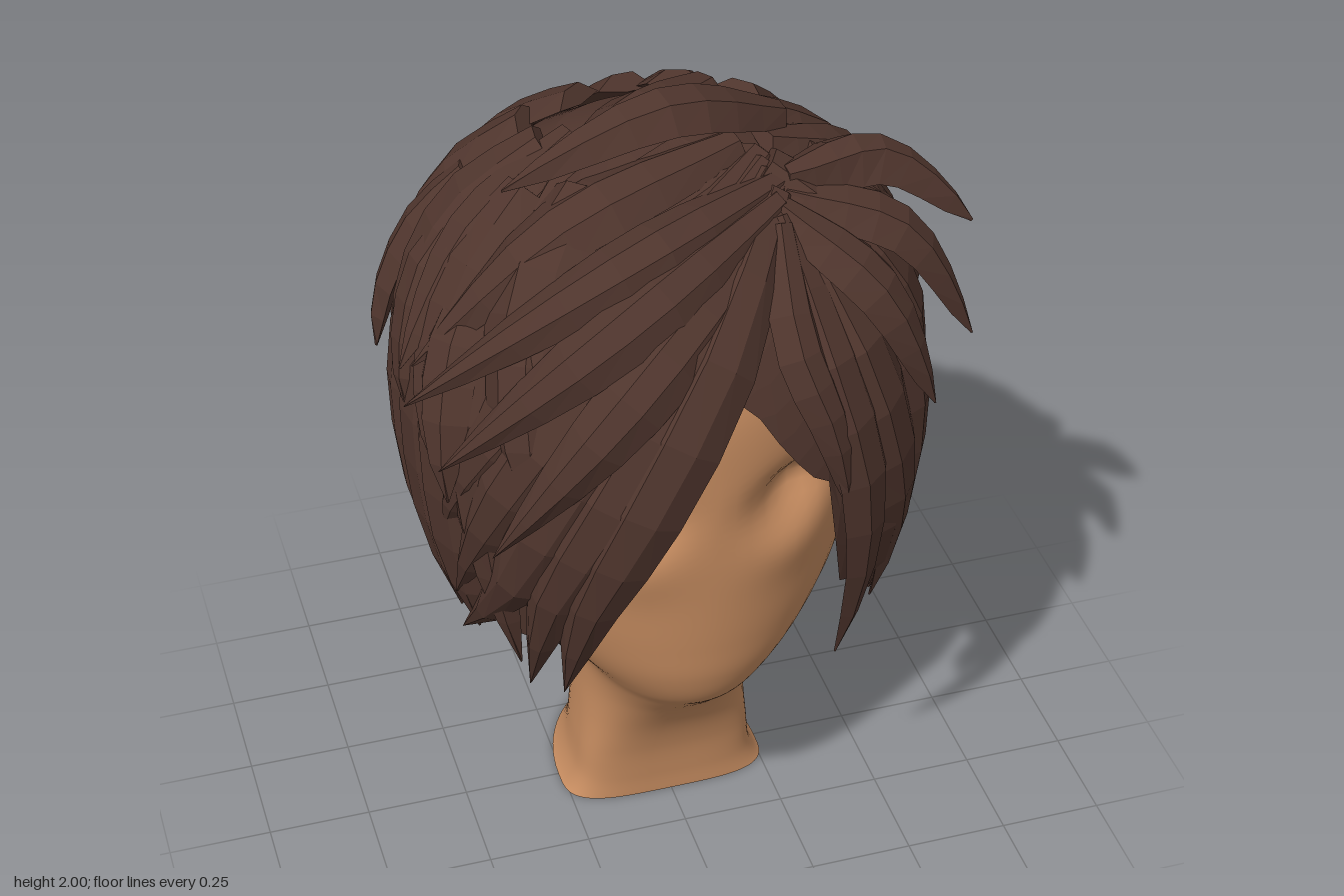
import * as THREE from 'three';

const V = (x, y, z) => new THREE.Vector3(x, y, z);
const rad = THREE.MathUtils.degToRad;
const skin = new THREE.MeshStandardMaterial({ color: 0xc68c60 });
skin.name = 'skin';
const hair = new THREE.MeshStandardMaterial({ color: 0x4f352d, flatShading: true, side: THREE.DoubleSide });
hair.name = 'brown hair';

let seed = 7;
const rnd = () => (seed = (seed * 16807) % 2147483647) / 2147483647;
const jitter = (s) => (rnd() - 0.5) * 2 * s;

// Hair envelope: a dome above the equator, a gently tapering skirt below it
const EQ = 1.22, DOME = 0.65, RX = 0.595, RZ = 0.585, POW = 2.3;
const ringAt = (v) => (v < 1 ? Math.sin(v * Math.PI / 2) : 1 - 0.45 * (v - 1) ** 2);
const heightAt = (v) => (v < 1 ? EQ + DOME * Math.cos(v * Math.PI / 2) : EQ - (v - 1));
const levelOf = (y) => (y > EQ ? Math.acos(Math.min(1, (y - EQ) / DOME)) * 2 / Math.PI : 1 + EQ - y);

// Point by compass angle (0 = front, 90 = left) and level (0 = crown, 1 = equator)
function onHair(deg, v, lift = 1) {
  const s = Math.sin(rad(deg)), c = Math.cos(rad(deg));
  const r = ringAt(v) * lift / (Math.abs(s) ** POW + Math.abs(c) ** POW) ** (1 / POW);
  return V(RX * r * s, heightAt(v) + (v < 1 ? (lift - 1) * 0.6 : 0), RZ * r * c);
}
// Point on the front half of the envelope by x and y
function onFront(x, y, lift = 1) {
  const r = ringAt(levelOf(y));
  const k = Math.max(0.02, r ** POW - Math.abs(x / RX) ** POW);
  return V(x * Math.min(lift, 1.02), y, RZ * k ** (1 / POW) * lift);
}

// A faceted lock with a blunt root; a higher sharpness keeps it broad until near the tip
function lock(name, points, width, thick, root = 0.6, steps = 8, sharpness = 2) {
  const curve = new THREE.CatmullRomCurve3(points);
  const section = [[-1, -0.3], [-0.4, 0.9], [0.35, 1], [1, -0.3], [0, -0.6]];
  const n = section.length, pos = [], idx = [];
  for (let i = 0; i <= steps; i++) {
    const t = i / steps, p = curve.getPoint(t), tan = curve.getTangent(t);
    const out = V(p.x, Math.max(0, p.y - EQ) * 0.95, p.z).normalize();
    const side = tan.clone().cross(out).normalize();
    out.crossVectors(side, tan).normalize();
    const swell = t < 0.4 ? root + (1 - root) * Math.sin(t / 0.4 * Math.PI / 2)
      : Math.max(0.01, 1 - ((t - 0.4) / 0.6) ** sharpness);
    for (const [b, h] of section) {
      const q = p.clone().addScaledVector(side, b * width * swell).addScaledVector(out, h * thick * Math.sqrt(swell));
      pos.push(q.x, q.y, q.z);
    }
  }
  for (let i = 0; i < steps; i++) for (let k = 0; k < n; k++) {
    const a = i * n + k, b = i * n + (k + 1) % n;
    idx.push(a, b, a + n, b, b + n, a + n);
  }
  for (let k = 1; k < n - 1; k++) idx.push(0, k + 1, k);
  const g = new THREE.BufferGeometry();
  g.setAttribute('position', new THREE.Float32BufferAttribute(pos, 3));
  g.setIndex(idx);
  g.computeVertexNormals();
  const m = new THREE.Mesh(g, hair);
  m.name = name;
  return m;
}

// Head and neck: stacked cross-sections, with sunken eye sockets and soft cheeks
function buildHead() {
  // y, half width, front z, back z
  const rows = [[0, 0.26, 0.13, -0.33], [0.06, 0.228, 0.132, -0.318], [0.16, 0.216, 0.145, -0.307],
    [0.26, 0.208, 0.18, -0.297], [0.36, 0.205, 0.245, -0.291], [0.45, 0.212, 0.33, -0.289], [0.53, 0.243, 0.405, -0.291],
    [0.62, 0.31, 0.442, -0.305], [0.72, 0.375, 0.456, -0.335], [0.84, 0.428, 0.466, -0.38], [1.0, 0.46, 0.475, -0.44],
    [1.2, 0.48, 0.48, -0.48], [1.4, 0.46, 0.465, -0.47], [1.58, 0.38, 0.38, -0.39],
    [1.7, 0.25, 0.25, -0.26], [1.76, 0.02, 0.02, -0.02]];
  const shape = new THREE.CatmullRomCurve3(rows.map((r) => V(r[1], r[2], r[3])), false, 'catmullrom', 0.5);
  const level = new THREE.SplineCurve(rows.map((r, i) => new THREE.Vector2(i, r[0])));
  const g = new THREE.CylinderGeometry(1, 1, 1, 72, 120).rotateY(Math.PI);
  const p = g.attributes.position;
  for (let i = 0; i < p.count; i++) {
    const t = p.getY(i) + 0.5, s = shape.getPoint(t), y = level.getPoint(t).y;
    // The throat is flat in front, so its section is a rounded D
    const flat = 1 - THREE.MathUtils.smoothstep(y, 0.1, 0.5);
    const mid = (s.y + s.z) / 2 + 0.1 * flat;
    let ux = p.getX(i), uz = p.getZ(i);
    if (uz > 0) {
      const e = 1 - 0.45 * flat;
      ux = Math.sign(ux) * Math.abs(ux) ** e;
      uz = uz ** e;
    }
    const x = ux * s.x;
    let z = mid + uz * (uz > 0 ? s.y - mid : mid - s.z);
    if (z > 0.1) {
      const dx = (Math.abs(x) - 0.2) / 0.09;
      z -= 0.085 * Math.exp(-(dx * dx) - ((y - 1.12) / 0.07) ** 2);
      z += 0.02 * Math.exp(-(dx * dx) * 0.7 - ((y - 0.98) / 0.09) ** 2);
    }
    p.setXYZ(i, x, y, z);
  }
  g.computeVertexNormals();
  const head = new THREE.Mesh(g, skin);
  head.name = 'headAndNeck';
  return head;
}

// Under-shell that fills between the locks and leaves the face open
function buildCap() {
  const edge = [[-180, 0.66], [-130, 0.69], [-90, 0.75], [-50, 0.78], [-38, 0.8], [-30, 0.9], [-22, 1.05],
    [-12, 1.25], [5, 1.49], [14, 1.34], [25, 1.2], [30, 0.88], [50, 0.78], [90, 0.75], [130, 0.69], [180, 0.66]];
  const cols = 90, rows = 12, pos = [], idx = [];
  for (let i = 0; i <= cols; i++) {
    const a = -180 + i * 360 / cols;
    const k = Math.max(1, edge.findIndex((e) => e[0] >= a));
    const [a0, y0] = edge[k - 1], [a1, y1] = edge[k];
    const end = levelOf(y0 + (y1 - y0) * (a - a0) / (a1 - a0));
    for (let j = 0; j <= rows; j++) pos.push(...onHair(a, end * j / rows, 1.01 - 0.05 * Math.min(1, j / 5)).toArray());
  }
  for (let i = 0; i < cols; i++) for (let j = 0; j < rows; j++) {
    const a = i * (rows + 1) + j, b = a + rows + 1;
    idx.push(a, a + 1, b, b, a + 1, b + 1);
  }
  const g = new THREE.BufferGeometry();
  g.setAttribute('position', new THREE.Float32BufferAttribute(pos, 3));
  g.setIndex(idx);
  g.computeVertexNormals();
  const cap = new THREE.Mesh(g, hair);
  cap.name = 'hairCap';
  return cap;
}

export function createModel() {
  const model = new THREE.Group();
  model.name = 'hairstyledHead';
  model.add(buildHead());
  for (const s of [-1, 1]) {
    const ear = new THREE.Mesh(new THREE.SphereGeometry(1, 20, 14), skin);
    ear.name = s > 0 ? 'leftEar' : 'rightEar';
    ear.scale.set(0.04, 0.13, 0.08);
    ear.position.set(s * 0.44, 0.88, -0.02);
    model.add(ear);
  }
  const style = new THREE.Group();
  style.name = 'hair';
  model.add(style);
  style.add(buildCap());

  // Long outer locks around the sides and back, alternating blunt and pointed
  for (let i = 0; i < 21; i++) {
    const a = 44 + i * 13.6, pointed = i % 3 === 1;
    const back = (1 - Math.cos(rad(a))) / 2;
    const end = levelOf(0.74 - 0.11 * back - (pointed ? 0.05 : 0) + jitter(0.025));
    const d = 5 + jitter(6);
    style.add(lock('longLock', [0.45, 0.8, 1.15, end].map((v, k) => onHair(a + d * (k - 1.5) / 1.5, v, pointed ? 0.99 : 0.975)),
      pointed ? 0.1 : 0.115, 0.032, 0.6, 8, pointed ? 2 : 5));
  }

  // Left curtain beside the face
  const curtain = [
    [[0.2, 1.76], [0.26, 1.5], [0.335, 1.2], [0.35, 0.9], [0.325, 0.58]],
    [[0.22, 1.76], [0.34, 1.5], [0.43, 1.2], [0.46, 0.95], [0.43, 0.68]],
    [[0.19, 1.75], [0.18, 1.56], [0.24, 1.37], [0.29, 1.12]]];
  curtain.forEach((pts, i) => style.add(lock('leftCurtain', pts.map(([x, y]) => onFront(x, y)), [0.085, 0.1, 0.065][i], 0.03)));

  // Swept fringe running from the parting to the right
  const fringe = [
    [[-0.02, 1.57], [-0.21, 1.26], [-0.31, 0.98], [-0.34, 0.66]],
    [[-0.06, 1.59], [-0.27, 1.28], [-0.38, 0.98], [-0.4, 0.64]],
    [[-0.1, 1.61], [-0.34, 1.32], [-0.45, 1.0], [-0.5, 0.65]],
    [[-0.14, 1.65], [-0.4, 1.38], [-0.5, 1.12], [-0.53, 0.82]],
    [[-0.16, 1.69], [-0.42, 1.46], [-0.53, 1.24], [-0.56, 1.02]]];
  fringe.forEach((pts, i) => style.add(lock('fringeLock',
    [[0.2, 1.79 + i * 0.008], ...pts].map(([x, y]) => onFront(x, y, 1.05 - i * 0.012)), 0.1, 0.035, 0.5)));

  // Broad crown locks fanning out from the whorl, with blunt roots
  for (let i = 0; i < 11; i++) {
    const w = 62 + i * 25 + jitter(4), s = 0.27 + (i % 2) * 0.08;
    style.add(lock('crownLock', [0, 0.24, 0.46, 0.68].map((v, k) => onHair(w - 8 + k * 5, s + v, [1.02, 1.02, 1.01, 0.99 + (i % 2) * 0.03][k])),
      0.125, 0.04, 0.55, 7, 2.5));
  }
  // Short layered spikes, every other tip lifting away
  for (let i = 0; i < 11; i++) {
    const w = 74 + i * 23.5 + jitter(5), s = 0.48 + jitter(0.07), up = i % 2 ? 1.07 : 1.01;
    style.add(lock('shortSpike', [0, 0.17, 0.34, 0.5].map((v, k) => onHair(w + k * 4, s + v, [1.01, 1.03, (1.02 + up) / 2, up][k])),
      0.09, 0.036, 0.5, 6, 2.5));
  }

  // Loose locks over the top, each an arc through root, middle and tip
  const loose = (root, middle, tip, width, thick = 0.035) =>
    style.add(lock('looseLock', [root, middle, tip].map((p) => V(...p)), width, thick, 0.5));
  loose([0.28, 1.84, 0], [-0.02, 1.957, 0.1], [-0.39, 1.85, 0.15], 0.085, 0.042);
  loose([0.16, 1.85, -0.16], [-0.06, 1.88, 0], [-0.32, 1.76, 0.12], 0.11);
  loose([0.15, 1.85, 0.1], [-0.28, 1.78, 0.22], [-0.61, 1.46, 0.18], 0.09);
  loose([-0.18, 1.84, -0.05], [-0.44, 1.69, 0.03], [-0.63, 1.43, 0.14], 0.095);
  // Tufts to the left of the parting
  loose([0.23, 1.8, 0.2], [0.45, 1.8, 0.17], [0.66, 1.64, 0.24], 0.075, 0.05);
  loose([0.22, 1.78, 0.22], [0.47, 1.69, 0.28], [0.64, 1.4, 0.33], 0.085);
  loose([0.2, 1.77, 0.26], [0.39, 1.61, 0.39], [0.52, 1.3, 0.43], 0.085);
  loose([0.22, 1.83, 0.08], [0.46, 1.7, -0.03], [0.62, 1.42, -0.2], 0.09);
  // Tufts sweeping right over the fringe
  loose([0.22, 1.8, 0.2], [-0.2, 1.75, 0.38], [-0.66, 1.46, 0.32], 0.075);
  loose([0.2, 1.78, 0.25], [-0.22, 1.66, 0.47], [-0.61, 1.34, 0.41], 0.08);
  loose([0.18, 1.75, 0.29], [-0.22, 1.53, 0.55], [-0.52, 1.15, 0.5], 0.08);
  return model;
}
